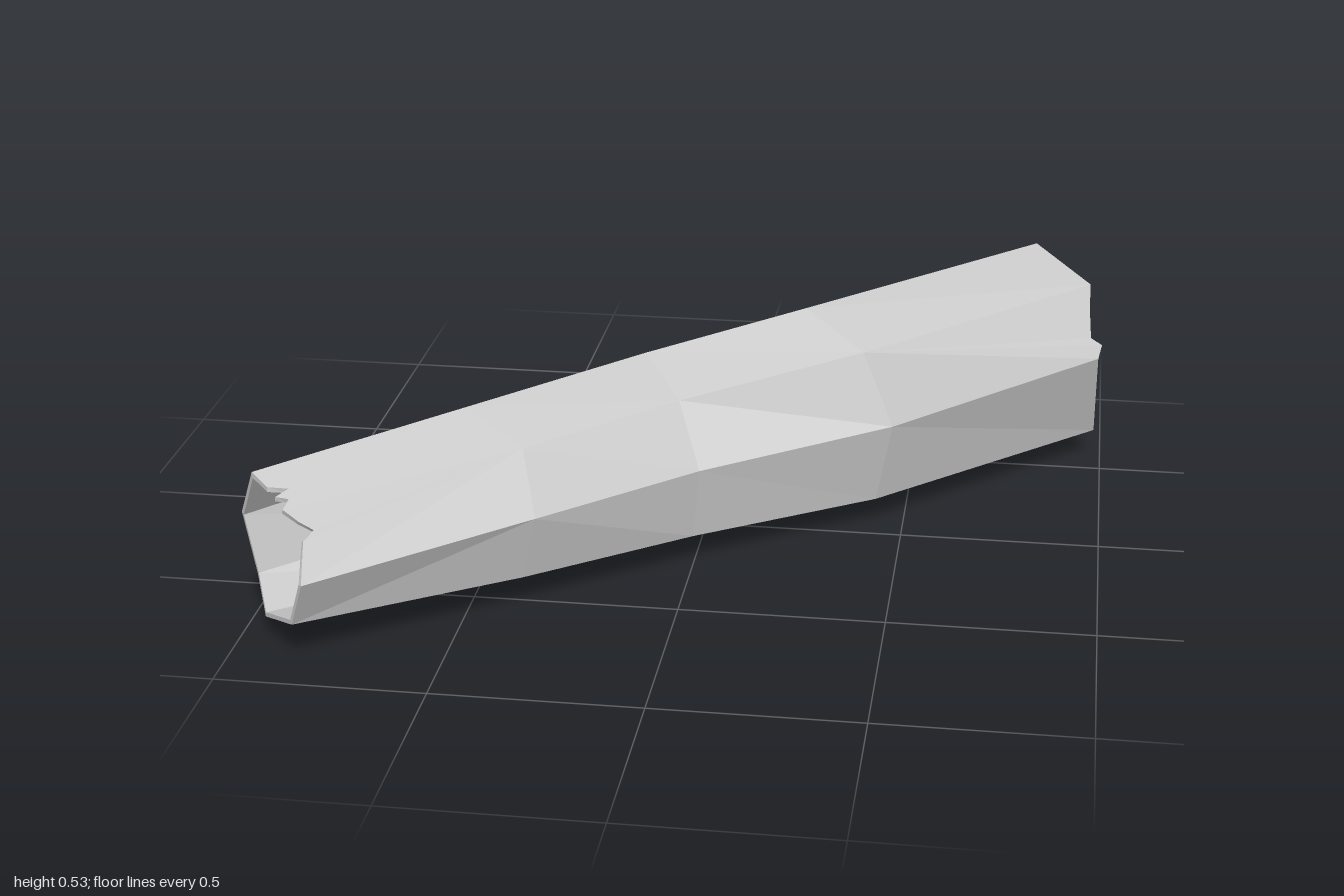
import * as THREE from 'three';

// Cross-sections of the log from the thin end to the thick end: seven corners [x, y, z] each
const SECTIONS = [
  [[-1, .29, .71], [-.95, .42, .77], [-.85, .375, .87], [-.8, .215, .93], [-.84, .095, .89], [-.94, .05, .77], [-.965, .14, .73]],
  [[-.6, .305, .27], [-.53, .455, .4], [-.37, .4, .5], [-.33, .25, .57], [-.37, .08, .54], [-.53, .035, .43], [-.57, .13, .29]],
  [[-.23, .315, -.1], [-.15, .475, .03], [-.04, .42, .2], [.02, .265, .27], [0, .075, .24], [-.1, .025, .02], [-.2, .125, -.08]],
  [[.13, .345, -.33], [.23, .53, -.2], [.39, .47, -.06], [.47, .285, -.03], [.43, .07, -.06], [.27, .01, -.18], [.15, .13, -.31]],
  [[.69, .34, -.94], [.8, .53, -.8], [.95, .485, -.61], [.98, .32, -.49], [.98, .07, -.6], [.67, 0, -.64], [.7, .14, -.91]],
].map(ring => ring.map(p => new THREE.Vector3(...p)));

// Splinters on the broken ends, per side: [position along the edge, depth into the log]
const THIN_JAGS = {
  1: [[.42, .01], [.58, .08], [.68, .01], [.8, .05]],
  2: [[.2, .05], [.35, .1], [.45, .05]],
};
const THICK_JAGS = { 2: [[.3, .015], [.7, .025], [.84, -.025]] };

const SIDES = 7;
const WALL = 0.93; // inner size relative to outer

function shrink(ring) {
  const c = new THREE.Vector3();
  ring.forEach(p => c.addScaledVector(p, 1 / SIDES));
  return ring.map(p => p.clone().sub(c).multiplyScalar(WALL).add(c));
}

// Broken edge of one side, running from corner j to corner j + 1
function brokenEdge(end, next, j, jags) {
  const k = (j + 1) % SIDES;
  const points = (jags[j] || []).map(([t, d]) =>
    end[j].clone().lerp(end[k], t).lerp(next[j].clone().lerp(next[k], t), d));
  return [end[j], ...points, end[k]];
}

function meshFrom(name, triangles) {
  const geometry = new THREE.BufferGeometry().setFromPoints(triangles);
  geometry.computeVertexNormals();
  const material = new THREE.MeshStandardMaterial({ color: 0xcccccc, flatShading: true });
  const mesh = new THREE.Mesh(geometry, material);
  mesh.name = name;
  return mesh;
}

// Wall of the tube; the end panels fan out to their broken edges
function wall(name, rings, inward) {
  const out = [];
  const tri = (a, b, c) => (inward ? out.push(a, c, b) : out.push(a, b, c));
  const last = rings.length - 1;
  for (let r = 0; r < last; r++) {
    const low = rings[r], high = rings[r + 1];
    for (let j = 0; j < SIDES; j++) {
      const k = (j + 1) % SIDES;
      if (r === 0) {
        const edge = brokenEdge(low, high, j, THIN_JAGS);
        for (let i = 0; i < edge.length - 1; i++) tri(edge[i], edge[i + 1], high[j]);
        tri(low[k], high[k], high[j]);
      } else {
        const edge = r === last - 1 ? brokenEdge(high, low, j, THICK_JAGS) : [high[j], high[k]];
        for (let i = 0; i < edge.length - 1; i++) tri(low[j], edge[i + 1], edge[i]);
        tri(low[j], low[k], high[k]);
      }
    }
  }
  return meshFrom(name, out);
}

// Strip that joins the outer and inner broken edges
function rim(name, outer, inner, end, next, jags, flip) {
  const out = [];
  const tri = (a, b, c) => (flip ? out.push(a, c, b) : out.push(a, b, c));
  for (let j = 0; j < SIDES; j++) {
    const o = brokenEdge(outer[end], outer[next], j, jags);
    const n = brokenEdge(inner[end], inner[next], j, jags);
    for (let i = 0; i < o.length - 1; i++) {
      tri(o[i], o[i + 1], n[i + 1]);
      tri(o[i], n[i + 1], n[i]);
    }
  }
  return meshFrom(name, out);
}

export function createModel() {
  const inner = SECTIONS.map(shrink);
  const log = new THREE.Group();
  log.name = 'hollowLog';
  log.add(
    wall('bark', SECTIONS, false),
    wall('hollow', inner, true),
    rim('thinEndRim', SECTIONS, inner, 0, 1, THIN_JAGS, true),
    rim('thickEndRim', SECTIONS, inner, 4, 3, THICK_JAGS, false),
  );
  return log;
}
